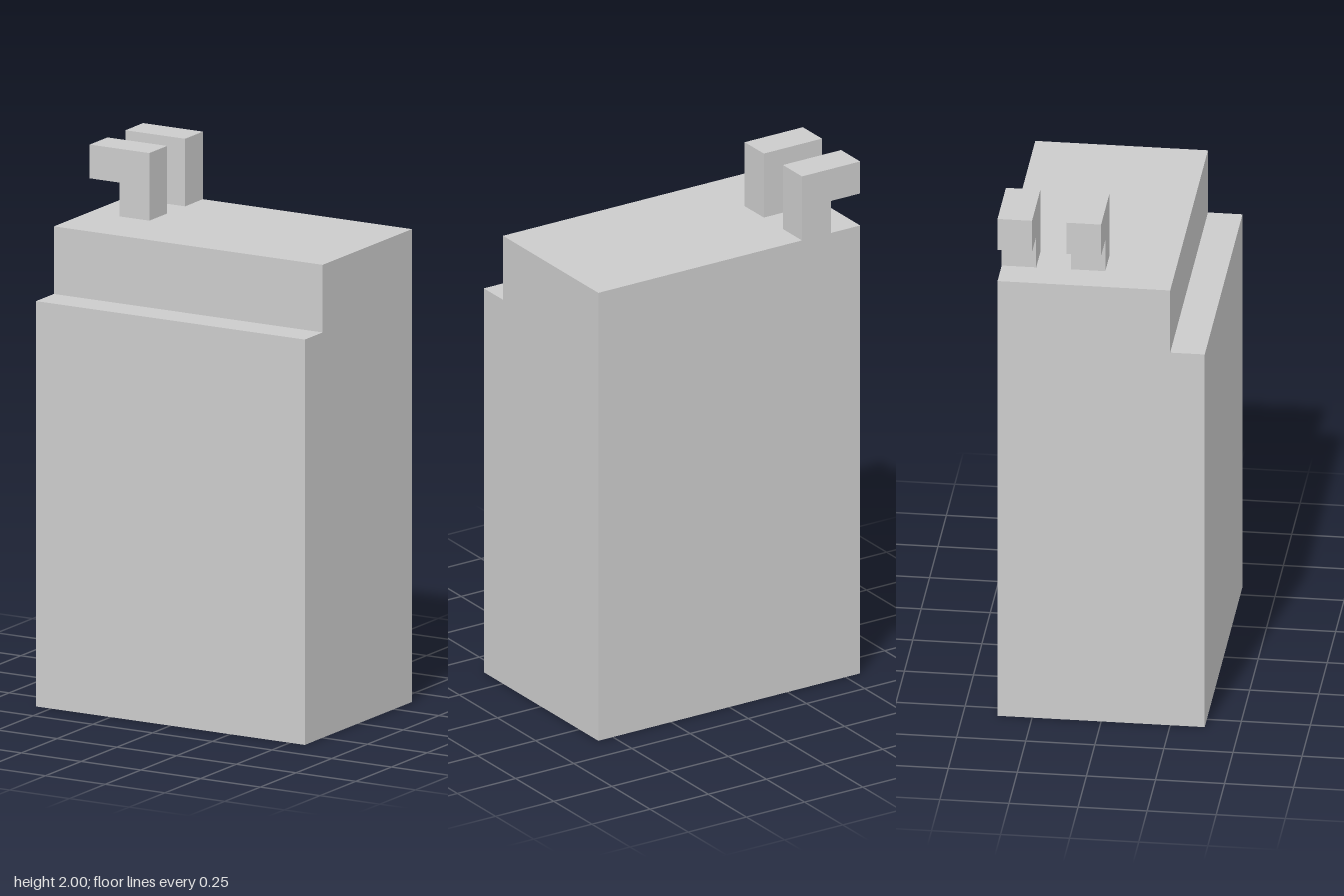
import * as THREE from 'three';

const material = new THREE.MeshStandardMaterial({ color: 0xcccccc, flatShading: true });

// Extrude a straight-edged outline along +z
function prism(points, depth) {
  const shape = new THREE.Shape(points.map(([x, y]) => new THREE.Vector2(x, y)));
  return new THREE.ExtrudeGeometry(shape, { depth, bevelEnabled: false });
}

function addPart(group, name, geometry) {
  const mesh = new THREE.Mesh(geometry, material);
  mesh.name = name;
  group.add(mesh);
  return mesh;
}

export function createModel() {
  const model = new THREE.Group();
  model.name = 'steppedCanister';

  // Body: side profile (z, y) with a step at the top front, swept across x
  const width = 1.125;
  const body = prism([
    [-0.375, 0], [0.375, 0], [0.375, 1.5], [0.25, 1.5], [0.25, 1.75], [-0.375, 1.75],
  ], width);
  body.rotateY(-Math.PI / 2).translate(width / 2, 0, 0);
  addPart(model, 'body', body);

  // Two hooks: a post with an arm reaching out to the right edge
  const hook = prism([
    [-0.4375, 1.75], [-0.3125, 1.75], [-0.3125, 2],
    [-0.5625, 2], [-0.5625, 1.875], [-0.4375, 1.875],
  ], 0.125);
  [['frontHook', -0.125], ['backHook', -0.375]].forEach(([name, z]) => {
    addPart(model, name, hook).position.z = z;
  });

  return model;
}
